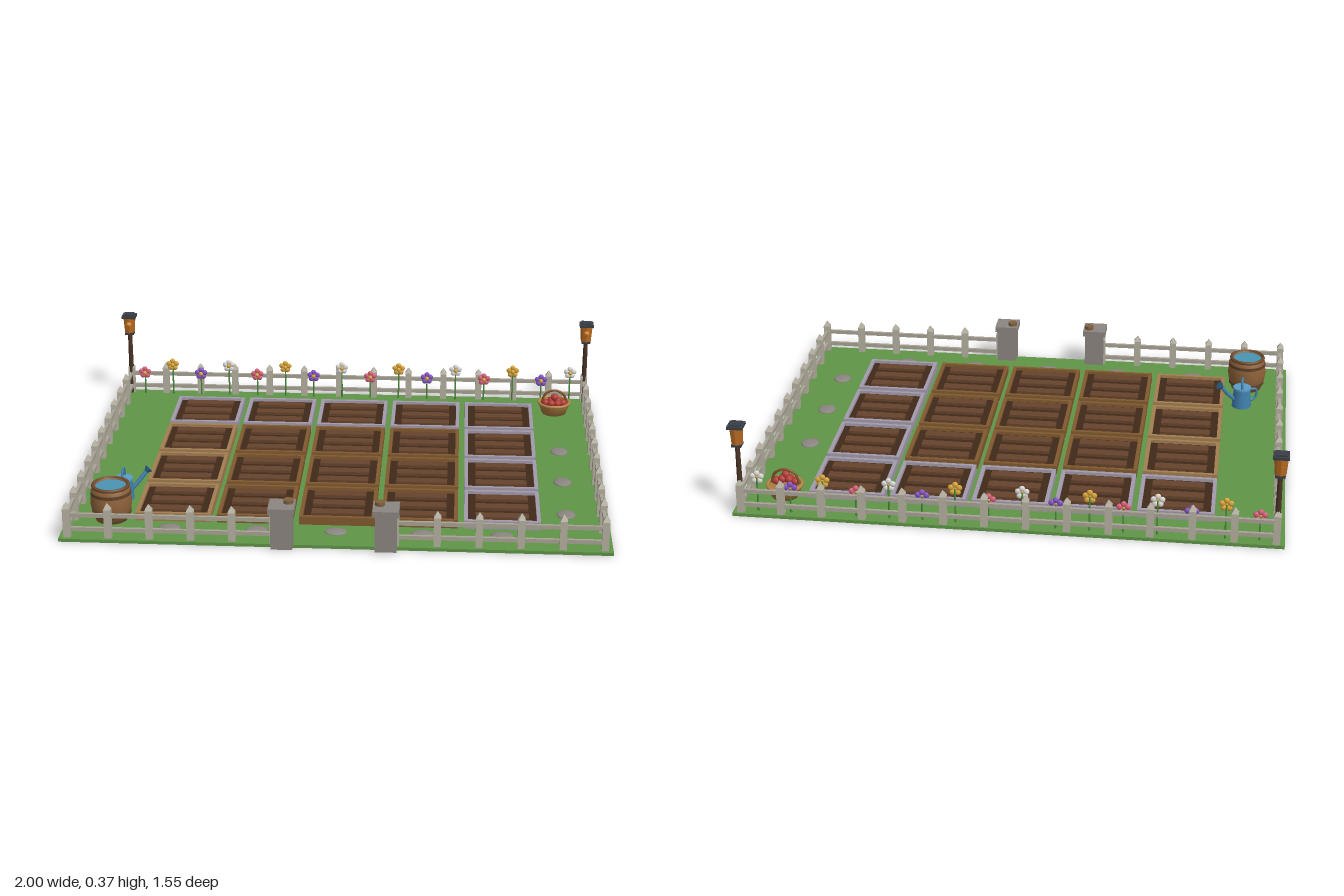
import * as THREE from 'three';

const mats = {};
const mat = (color, flat = false) => (mats[color + '_' + flat] ??=
  new THREE.MeshStandardMaterial({ color, flatShading: flat }));

function add(parent, name, geo, color, x = 0, y = 0, z = 0, flat = false) {
  const m = new THREE.Mesh(geo, mat(color, flat));
  m.name = name;
  m.position.set(x, y, z);
  parent.add(m);
  return m;
}
function group(parent, name, x = 0, y = 0, z = 0) {
  const g = new THREE.Group();
  g.name = name;
  g.position.set(x, y, z);
  parent.add(g);
  return g;
}
const box = (w, h, d) => new THREE.BoxGeometry(w, h, d);
const cyl = (rt, rb, h, n = 16) => new THREE.CylinderGeometry(rt, rb, h, n);
const ball = (r, n = 12) => new THREE.SphereGeometry(r, n, Math.max(6, n / 2));
const lathe = (pts, n = 24) => new THREE.LatheGeometry(pts.map(p => new THREE.Vector2(...p)), n);
const tube = (pts, r, n = 12) => new THREE.TubeGeometry(
  new THREE.CatmullRomCurve3(pts.map(p => new THREE.Vector3(...p))), n, r, 8);

const GROUND = 0.012, SIDE = 0.97, BACK = -0.755, FRONT = 0.71;

// Fence run between two points: pointed pickets and two rails
function fence(parent, name, x0, z0, x1, z1, bays) {
  const g = group(parent, name);
  for (let i = 0; i <= bays; i++) {
    const x = x0 + (x1 - x0) * i / bays, z = z0 + (z1 - z0) * i / bays;
    add(g, 'picket', box(0.026, 0.118, 0.026), 0xb5afa0, x, 0.065, z);
    const tip = new THREE.ConeGeometry(0.019, 0.024, 4).rotateY(Math.PI / 4);
    add(g, 'picketTip', tip, 0xb5afa0, x, 0.136, z, true);
  }
  const along = Math.abs(x1 - x0) > 0.01, len = Math.hypot(x1 - x0, z1 - z0);
  for (const y of [0.042, 0.097])
    add(g, 'rail', along ? box(len, 0.015, 0.012) : box(0.012, 0.015, len), 0xa8a294,
      (x0 + x1) / 2, y, (z0 + z1) / 2);
}

// Planting bed: timber frame, dark soil and three raised rows
function bed(parent, x, z, color) {
  const g = group(parent, 'plantingBed', x, 0, z), S = 0.28, T = 0.014, H = 0.036;
  const y = GROUND + H / 2 - 0.004;
  for (const s of [-1, 1]) {
    add(g, 'frameLong', box(S, H, T), color, 0, y, s * (S - T) / 2);
    add(g, 'frameShort', box(T, H, S - 2 * T), color, s * (S - T) / 2, y, 0);
  }
  add(g, 'soil', box(S - 2 * T, 0.024, S - 2 * T), 0x3f2818, 0, 0.02, 0);
  for (const i of [-1, 0, 1])
    add(g, 'soilRow', box(0.195, 0.014, 0.042), 0x65432c, 0, 0.036, i * 0.081);
}

// Flower facing the front
function flower(parent, x, y, color) {
  const g = group(parent, 'flower', x, 0, -0.737);
  add(g, 'stem', cyl(0.003, 0.004, y, 6), 0x4b8a3c, 0, y / 2, -0.004);
  for (let i = 0; i < 5; i++) {
    const a = Math.PI / 2 + i * Math.PI * 2 / 5;
    const p = add(g, 'petal', ball(0.0115, 10), color, Math.cos(a) * 0.016, y + Math.sin(a) * 0.016, 0);
    p.scale.z = 0.6;
  }
  add(g, 'flowerCentre', ball(0.009, 10), 0xd9a53a, 0, y, 0.005);
}

// Lamp on a corner post
function lampPost(parent, x) {
  const g = group(parent, 'lampPost', x, 0, -0.75);
  add(g, 'post', cyl(0.009, 0.011, 0.28, 8), 0x4a3426, 0, 0.14, 0);
  add(g, 'lampBase', box(0.036, 0.01, 0.036), 0x3a3d45, 0, 0.282, 0);
  add(g, 'lampBody', cyl(0.026, 0.021, 0.068, 8), 0xb86a22, 0, 0.32, 0, true);
  add(g, 'lampGlow', ball(0.012), 0xe0862c, 0, 0.325, 0.02);
  add(g, 'lampRoof', box(0.058, 0.01, 0.056), 0x3a3d45, 0, 0.357, 0);
  add(g, 'lampCap', box(0.04, 0.008, 0.04), 0x3a3d45, 0, 0.364, 0);
}

// Stone gate pillar
function pillar(parent, s) {
  const g = group(parent, 'gatePillar', s * 0.187, 0, 0.727);
  add(g, 'pillarBody', box(0.078, 0.14, 0.076), 0x8b8580, 0, 0.075, 0);
  add(g, 'pillarCap', box(0.094, 0.022, 0.094), 0x8b8580, 0, 0.156, 0);
  add(g, 'pillarKnob', cyl(0.018, 0.018, 0.014, 12), 0x80603f, -s * 0.023, 0.174, -0.015);
}

export function createModel() {
  const root = new THREE.Group();
  root.name = 'garden';

  add(root, 'lawn', box(2, GROUND, 1.51), 0x5f9447, 0, GROUND / 2, -0.02);

  // Beds in five columns and four rows
  const beds = group(root, 'plantingBeds');
  for (let r = 0; r < 4; r++)
    for (let c = 0; c < 5; c++) {
      const color = r === 0 || c === 4 ? 0xa29aab : c === 0 ? 0xa27d50 : 0x80592f;
      bed(beds, (c - 2) * 0.303, -0.487 + r * 0.303, color);
    }

  // Fences, gate pillars and lamps
  fence(root, 'backFence', -SIDE, BACK, SIDE, BACK, 13);
  for (const s of [-1, 1]) {
    fence(root, s > 0 ? 'leftFence' : 'rightFence', s * SIDE, BACK, s * SIDE, FRONT, 10);
    fence(root, 'frontFence', s * SIDE, FRONT, s * 0.22, FRONT, 5);
    pillar(root, s);
    lampPost(root, s * SIDE);
  }

  // Flower row
  const flowers = group(root, 'flowerRow');
  const colors = [0xd8607c, 0xd9a53a, 0x8455c4, 0xdcdad6];
  for (let i = 0; i < 16; i++) flower(flowers, -0.91 + i * 0.1213, i % 2 ? 0.145 : 0.107, colors[i % 4]);

  // Stepping stones
  const stones = group(root, 'steppingStones');
  const stone = (x, z, rx, rz) => add(stones, 'stone', ball(1, 16), 0x8b8580, x, GROUND, z).scale.set(rx, 0.009, rz);
  for (const x of [-0.61, -0.29, 0, 0.315, 0.605]) stone(x, 0.617, 0.042, 0.032);
  for (const z of [-0.185, 0.12, 0.42]) stone(0.845, z, 0.036, 0.041);

  // Water barrel
  const barrel = group(root, 'waterBarrel', -0.835, GROUND, 0.545);
  add(barrel, 'staves', lathe([[0, 0], [0.06, 0], [0.072, 0.035], [0.077, 0.068], [0.074, 0.105],
    [0.067, 0.136], [0.058, 0.136], [0.058, 0.12]]), 0x8f623a);
  for (const [y, r] of [[0.03, 0.072], [0.108, 0.075]])
    add(barrel, 'hoop', cyl(r, r, 0.012, 24), 0x5f4229, 0, y, 0);
  const rim = add(barrel, 'rim', new THREE.TorusGeometry(0.065, 0.007, 8, 24), 0x6d4a2c, 0, 0.134, 0);
  rim.rotation.x = Math.PI / 2;
  add(barrel, 'water', cyl(0.06, 0.06, 0.006, 24), 0x4a94b4, 0, 0.127, 0);

  // Watering can
  const can = group(root, 'wateringCan', -0.82, GROUND, 0.362);
  add(can, 'canBody', cyl(0.033, 0.039, 0.078, 20), 0x3f80ae, 0, 0.039, 0);
  add(can, 'canRim', cyl(0.036, 0.036, 0.008, 20), 0x5b9cc6, 0, 0.08, 0);
  add(can, 'spout', tube([[0.025, 0.03, -0.012], [0.05, 0.055, -0.024], [0.082, 0.095, -0.039]], 0.008), 0x3f80ae);
  const rose = add(can, 'spoutHead', cyl(0.017, 0.008, 0.016, 14), 0x2d618a, 0.086, 0.1, -0.041);
  rose.quaternion.setFromUnitVectors(new THREE.Vector3(0, 1, 0), new THREE.Vector3(0.65, 0.65, -0.31).normalize());
  add(can, 'topHandle', tube([[0, 0.08, 0.028], [0, 0.11, 0.022], [0, 0.12, 0], [0, 0.11, -0.022], [0, 0.08, -0.028]], 0.005), 0x3f80ae);
  add(can, 'backHandle', tube([[-0.03, 0.07, 0.012], [-0.056, 0.065, 0.024], [-0.055, 0.03, 0.024], [-0.034, 0.018, 0.014]], 0.005), 0x3f80ae);

  // Harvest basket with red fruit
  const basket = group(root, 'basket', 0.84, GROUND, -0.615);
  add(basket, 'basketBowl', lathe([[0, 0], [0.05, 0], [0.067, 0.046], [0.06, 0.046], [0.055, 0.036], [0, 0.036]]), 0xa9793f);
  const lip = add(basket, 'basketRim', new THREE.TorusGeometry(0.064, 0.006, 8, 24), 0xb78748, 0, 0.046, 0);
  lip.rotation.x = Math.PI / 2;
  add(basket, 'basketHandle', tube([[-0.052, 0.045, 0.01], [-0.038, 0.085, 0.01], [0, 0.102, 0.01],
    [0.038, 0.085, 0.01], [0.052, 0.045, 0.01]], 0.005, 20), 0x7c5129);
  for (const [x, y, z] of [[-0.036, 0.05, 0.018], [-0.013, 0.052, 0.034], [0.013, 0.052, 0.034],
    [0.036, 0.05, 0.018], [-0.013, 0.06, 0.014], [0.013, 0.06, 0.014], [0, 0.076, 0.022]])
    add(basket, 'fruit', ball(0.016), 0xb23a34, x, y, z);

  return root;
}
